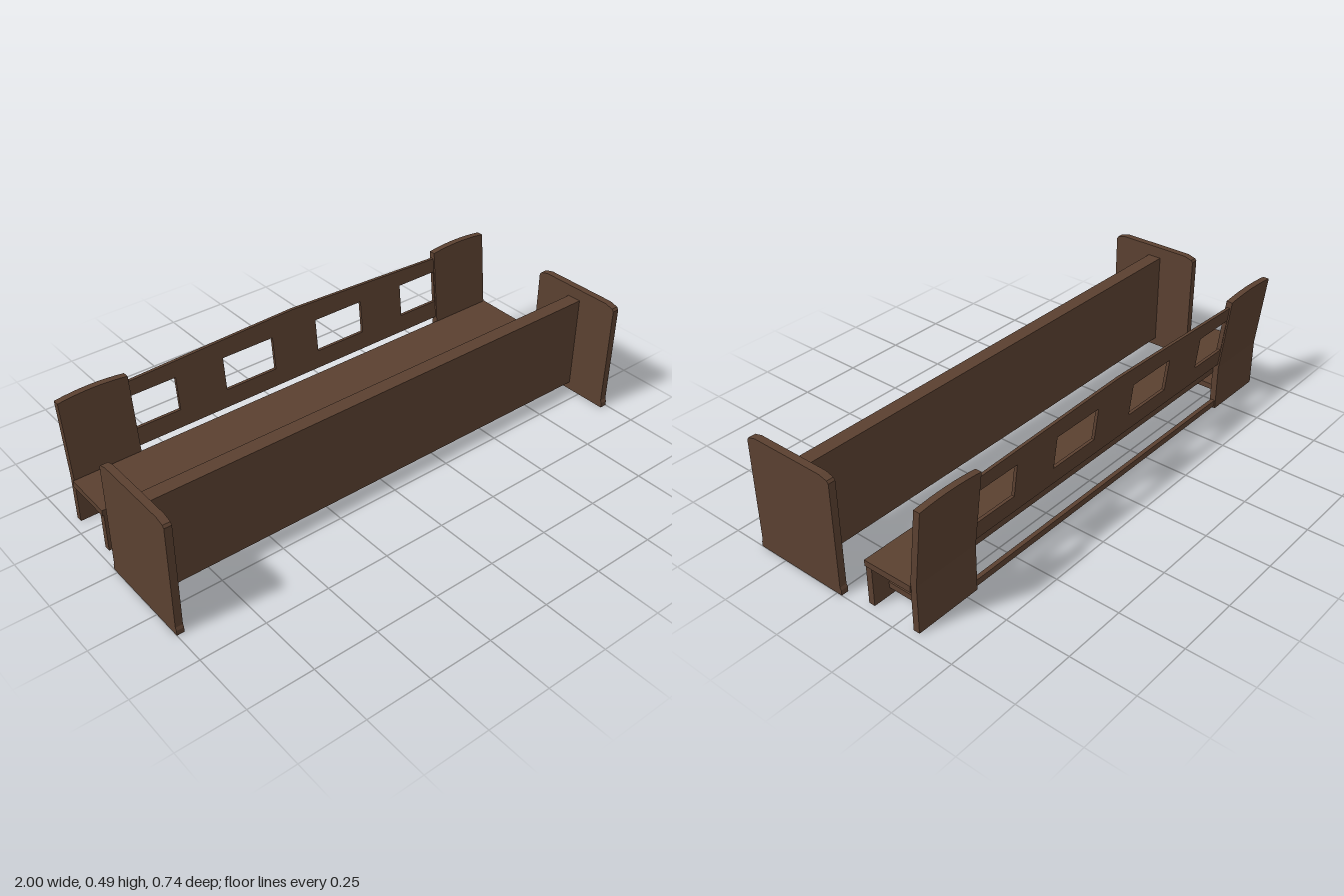
import * as THREE from 'three';

const wood = new THREE.MeshStandardMaterial({ color: 0x5a4030, flatShading: true });

export function createModel() {
  const model = new THREE.Group();

  const add = (name, geo) => {
    const mesh = new THREE.Mesh(geo, wood);
    mesh.name = name;
    model.add(mesh);
    return mesh;
  };
  // box given by its limits on each axis
  const box = (name, x0, x1, y0, y1, z0, z1) =>
    add(name, new THREE.BoxGeometry(x1 - x0, y1 - y0, z1 - z0)
      .translate((x0 + x1) / 2, (y0 + y1) / 2, (z0 + z1) / 2));
  const shapeOf = (pts) => new THREE.Shape(pts.map(([a, b]) => new THREE.Vector2(a, b)));
  // extrude a (z, y) profile along x from x0 to x1
  const alongX = (name, pts, x0, x1) =>
    add(name, new THREE.ExtrudeGeometry(shapeOf(pts.map(([z, y]) => [-z, y])),
      { depth: x1 - x0, bevelEnabled: false }).rotateY(Math.PI / 2).translate(x0, 0, 0));
  // extrude an (x, y) outline along z, then lean it backwards above the seat
  const KINK = 0.185;
  const leaning = (name, shape, z0, z1) => {
    const geo = new THREE.ExtrudeGeometry(shape, { depth: z1 - z0, bevelEnabled: false }).translate(0, 0, z0);
    const p = geo.attributes.position;
    for (let i = 0; i < p.count; i++) p.setZ(i, p.getZ(i) - (p.getY(i) - KINK) * 0.115);
    geo.computeVertexNormals();
    return add(name, geo);
  };

  // kneeler front: end panels with a small plinth and clipped top corners
  const mid = 0.174;
  const half = [[0.195, 0], [0.195, 0.02], [0.19, 0.03], [0.19, 0.437], [0.183, 0.446], [0.15, 0.455]];
  const endProfile = [
    ...half.map(([d, y]) => [mid - d, y]),
    ...half.slice().reverse().map(([d, y]) => [mid + d, y]),
  ];
  alongX('leftEndPanel', endProfile.slice().reverse(), 0.972, 1);
  alongX('rightEndPanel', endProfile.slice().reverse(), -1, -0.972);
  box('frontBoard', -0.972, 0.972, 0.032, 0.41, 0.142, 0.198);

  // bench seat, rising slightly to the back
  alongX('seat', [[-0.113, 0.155], [-0.113, 0.178], [-0.312, 0.181], [-0.312, 0.155]], -0.972, 0.972);

  // wide supports, stretchers and leaning end boards on both sides
  for (const s of [-1, 1]) {
    const side = s > 0 ? 'left' : 'right';
    const [x0, x1] = s > 0 ? [0.702, 0.967] : [-0.967, -0.702];
    const xm = (x0 + x1) / 2;
    box(side + 'FrontLeg', x0, x1, 0, 0.155, -0.138, -0.113);
    box(side + 'BackLeg', x0, x1, 0, KINK, -0.335, -0.31);
    box(side + 'Stretcher', xm - 0.065, xm + 0.065, 0.032, 0.055, -0.31, -0.138);
    const top = [];
    for (let i = 0; i <= 8; i++) {
      const t = i / 8;
      top.push([x1 + (x0 - x1) * t, 0.481 + 0.036 * t * (1 - t)]);
    }
    leaning(side + 'BackEndBoard', shapeOf([[x0, KINK], [x1, KINK], ...top]), -0.335, -0.31);
  }

  // long rails near the floor
  box('frontFloorRail', -0.702, 0.702, 0.01, 0.035, -0.134, -0.117);
  box('backFloorRail', -0.702, 0.702, 0.01, 0.035, -0.331, -0.314);

  // thin backrest with a peaked top and four openings
  const back = shapeOf([[-0.702, 0.2], [0.702, 0.2], [0.702, 0.456], [0.2, 0.473], [0, 0.479], [-0.2, 0.473], [-0.702, 0.456]]);
  for (const [a, b] of [[-0.699, -0.52], [-0.32, -0.1], [0.1, 0.32], [0.52, 0.699]]) {
    back.holes.push(new THREE.Path([[a, 0.27], [a, 0.4], [b, 0.4], [b, 0.27]].map(([x, y]) => new THREE.Vector2(x, y))));
  }
  leaning('backrest', back, -0.329, -0.317);

  return model;
}
